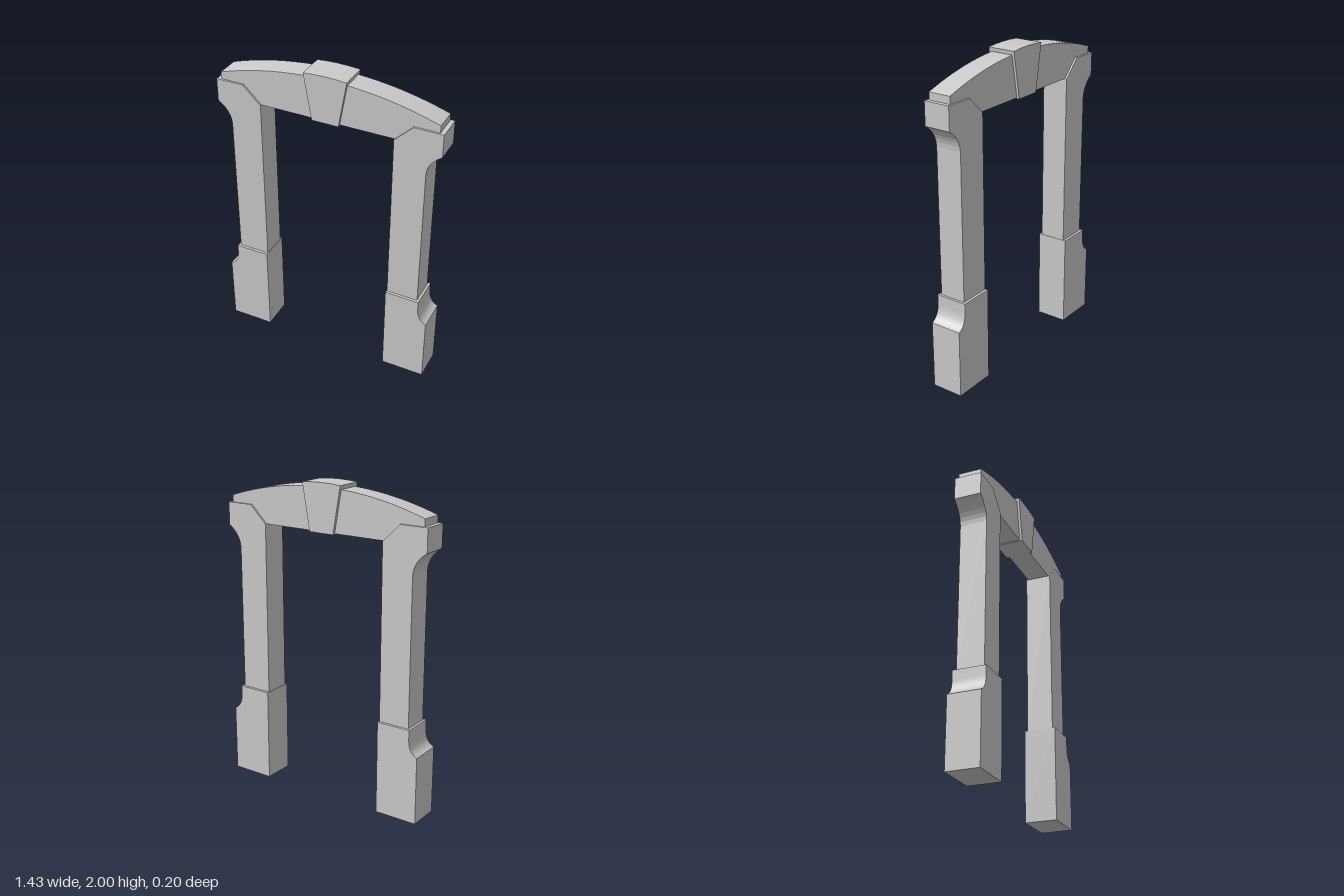
import * as THREE from 'three';
import { toCreasedNormals } from 'three/addons/utils/BufferGeometryUtils.js';

const material = new THREE.MeshStandardMaterial({ color: 0xcccccc });

// Extrudes a front profile to a block centred on z = 0.
function block(name, shape, depth, curveSegments, smooth = false) {
  let geometry = new THREE.ExtrudeGeometry(shape, { depth, curveSegments, bevelEnabled: false });
  geometry.translate(0, 0, -depth / 2);
  if (smooth) geometry = toCreasedNormals(geometry, 0.5);
  const mesh = new THREE.Mesh(geometry, material);
  mesh.name = name;
  return mesh;
}

// Plinth with a concave shoulder on its outer side
function plinthShape() {
  const s = new THREE.Shape();
  s.moveTo(0.422, 0);
  s.lineTo(0.70, 0);
  s.lineTo(0.70, 0.435);
  s.quadraticCurveTo(0.642, 0.46, 0.642, 0.54);
  s.lineTo(0.642, 0.6);
  s.lineTo(0.422, 0.6);
  s.closePath();
  return s;
}

// Post flaring outwards into a capital, with a sloped seat for the lintel
function postShape() {
  const s = new THREE.Shape();
  s.moveTo(0.425, 0.6);
  s.lineTo(0.627, 0.6);
  s.lineTo(0.627, 1.53);
  s.quadraticCurveTo(0.63, 1.615, 0.716, 1.67);
  s.lineTo(0.716, 1.815);
  s.lineTo(0.538, 1.815);
  s.lineTo(0.425, 1.705);
  s.closePath();
  return s;
}

// Lintel with a flat underside and a shallow arched top
function lintelShape() {
  const half = 0.69, springY = 1.86, rise = 0.112;
  const radius = (half * half + rise * rise) / (2 * rise);
  const angle = Math.asin(half / radius);
  const s = new THREE.Shape();
  s.moveTo(-0.425, 1.705);
  s.lineTo(0.425, 1.705);
  s.lineTo(0.538, 1.815);
  s.lineTo(half, 1.815);
  s.lineTo(half, springY);
  s.absarc(0, springY + rise - radius, radius, Math.PI / 2 - angle, Math.PI / 2 + angle, false);
  s.lineTo(-half, 1.815);
  s.lineTo(-0.538, 1.815);
  s.closePath();
  return s;
}

// Wedge-shaped keystone with a slightly crowned top
function keystoneShape() {
  const s = new THREE.Shape();
  s.moveTo(-0.085, 1.7);
  s.lineTo(0.085, 1.7);
  s.lineTo(0.136, 1.993);
  s.quadraticCurveTo(0, 2.007, -0.136, 1.993);
  s.closePath();
  return s;
}

export function createModel() {
  const model = new THREE.Group();
  model.name = 'archway';

  // The pillars are symmetric in z, so a half turn mirrors them.
  for (const [name, turn] of [['leftPillar', 0], ['rightPillar', Math.PI]]) {
    const pillar = new THREE.Group();
    pillar.name = name;
    pillar.add(block('plinth', plinthShape(), 0.205, 10, true));
    pillar.add(block('post', postShape(), 0.17, 6));
    pillar.rotation.y = turn;
    model.add(pillar);
  }

  model.add(block('lintel', lintelShape(), 0.146, 16));
  model.add(block('keystone', keystoneShape(), 0.18, 4));
  return model;
}
